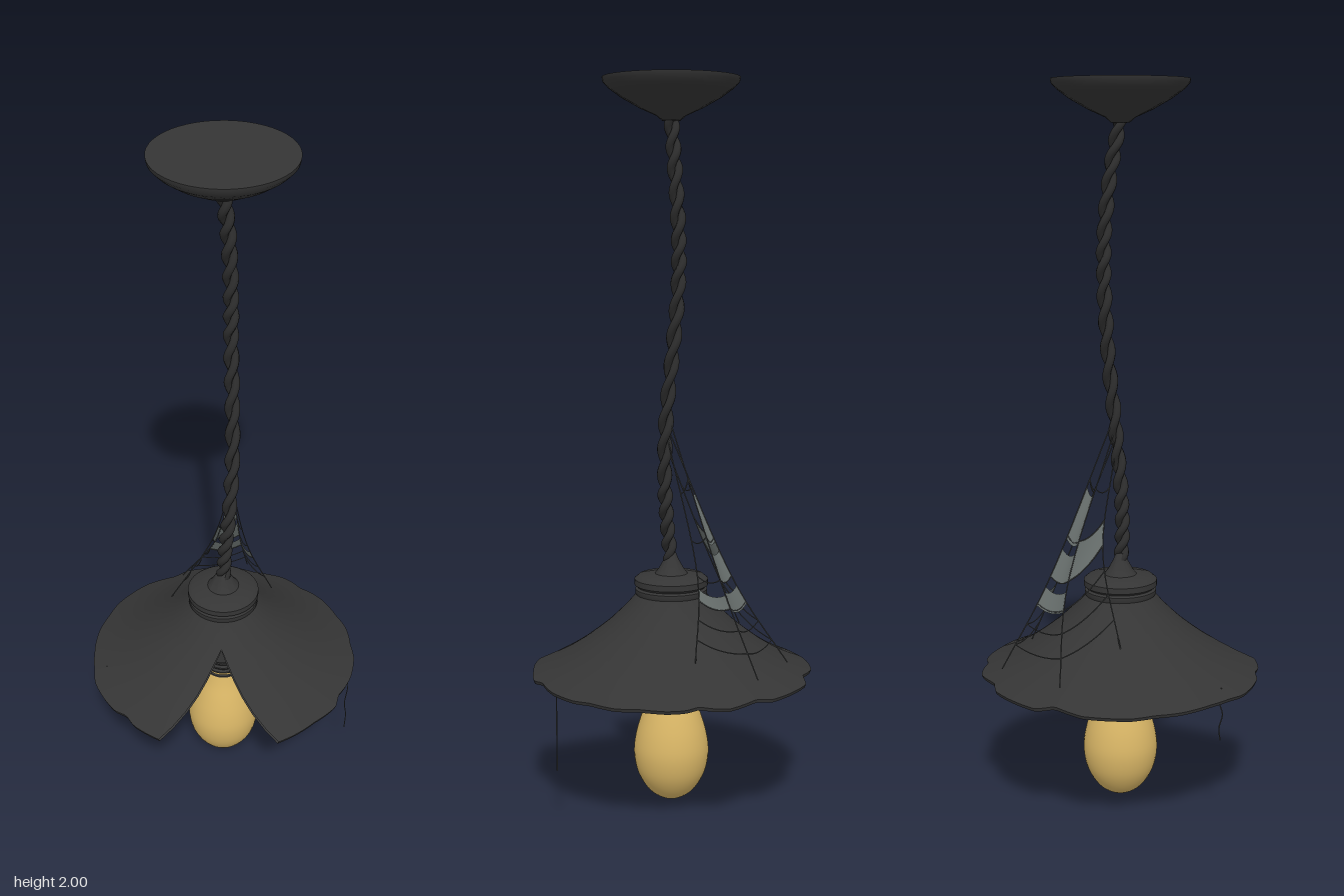
import * as THREE from 'three';
import { toCreasedNormals } from 'three/addons/utils/BufferGeometryUtils.js';

const mat = (name, color, side = THREE.FrontSide) => {
  const m = new THREE.MeshStandardMaterial({ color, side });
  m.name = name;
  return m;
};
const V = (x, y, z) => new THREE.Vector3(x, y, z);

// Surface from a grid of points, rows x cols
function gridGeometry(rows, cols, fn) {
  const pos = [], idx = [];
  for (let i = 0; i <= rows; i++)
    for (let j = 0; j <= cols; j++) pos.push(...fn(i, j / cols).toArray());
  const c = cols + 1;
  for (let i = 0; i < rows; i++)
    for (let j = 0; j < cols; j++) {
      const a = i * c + j;
      idx.push(a, a + 1, a + c, a + 1, a + c + 1, a + c);
    }
  const g = new THREE.BufferGeometry();
  g.setAttribute('position', new THREE.Float32BufferAttribute(pos, 3));
  g.setIndex(idx);
  g.computeVertexNormals();
  return g;
}

// Rim outline of the battered shade: [angle in degrees, radius]
const RIM = [
  [-199.4, .392], [-186, .39], [-180, .38], [-174, .392], [-155, .396], [-147, .388], [-137, .386],
  [-122, .39], [-112, .388], [-103, .395], [-84, .392], [-71, .372], [-64, .394], [-52, .392],
  [-39, .391], [-32, .376], [-18.5, .393], [-13, .388], [-6.6, .375], [-1, .387], [6, .39],
  [17.7, .385], [26, .392], [38, .386], [45, .392], [58, .39], [64, .386], [71, .38], [77, .393],
  [90, .385], [109.4, .39],
];
function rimRadius(a) {
  let k = 1;
  while (k < RIM.length - 1 && RIM[k][0] < a) k++;
  const [a0, r0] = RIM[k - 1], [a1, r1] = RIM[k];
  return THREE.MathUtils.lerp(r0, r1, THREE.MathUtils.clamp((a - a0) / (a1 - a0), 0, 1));
}

export function createModel() {
  const root = new THREE.Group();
  root.name = 'pendantLamp';
  const metal = mat('dark metal', 0x353535);
  const metalSheet = mat('dark sheet metal', 0x353535, THREE.DoubleSide);
  const cordMat = mat('cord black', 0x2c2c2c);
  const glass = mat('amber glass', 0xd9b666);
  const silk = mat('cobweb grey', 0x666d6b, THREE.DoubleSide);
  const thread = mat('cobweb thread', 0x484a4a);

  const add = (name, geo, material, parent = root) => {
    const m = new THREE.Mesh(geo, material);
    m.name = name;
    parent.add(m);
    return m;
  };
  const lathe = (name, pts, material, crease = 0.6) => add(name, toCreasedNormals(
    new THREE.LatheGeometry(pts.map(p => new THREE.Vector2(...p)), 48), crease), material);

  // Ceiling canopy
  lathe('canopy', [[0, 1.885], [.025, 1.887], [.04, 1.9], [.085, 1.92], [.135, 1.948], [.168, 1.972],
    [.183, 1.988], [.185, 2], [0, 2]], metal);

  // Two-strand twisted cord
  const cordPath = new THREE.CatmullRomCurve3([V(0, 1.9, 0), V(.025, 1.76, -.008), V(.041, 1.6, -.016),
    V(.042, 1.46, -.016), V(.034, 1.28, -.002), V(.018, 1.08, .016), V(.002, .9, .018),
    V(-.004, .78, .01), V(0, .67, 0)]);
  for (let s = 0; s < 2; s++) {
    const pts = [];
    for (let i = 0; i <= 160; i++) {
      const a = i / 160 * Math.PI * 20 + s * Math.PI;
      pts.push(cordPath.getPoint(i / 160).add(V(Math.cos(a) * .01, 0, Math.sin(a) * .01)));
    }
    add('cordStrand', new THREE.TubeGeometry(new THREE.CatmullRomCurve3(pts), 320, .0115, 8), cordMat);
  }

  // Neck and cap above the shade
  lathe('cap', [[0, .59], [.095, .592], [.1, .6], [.1, .612], [.094, .617], [.102, .624], [.102, .64],
    [.09, .65], [.045, .655], [.035, .668], [.02, .695], [.012, .715], [0, .715]], metal);

  // Shade with a torn wedge and nibbled rim: outer skin, then inner skin
  const outer = [[.095, .6], [.105, .588], [.125, .565], [.15, .54], [.18, .512], [.215, .484], [.255, .454],
    [.3, .425], [.345, .401], [.388, .382]];
  const profile = [...outer, ...outer.map(([r, y]) => [r - .003, y - .009]).reverse()];
  const shade = gridGeometry(profile.length - 1, 150, (i, s) => {
    const [r, y] = profile[i];
    const t = THREE.MathUtils.clamp((r - .15) / .238, 0, 1);
    const gap = 25.6 * Math.pow(t, .7);
    const bite = rimRadius(-199.4 + 308.8 * s) / .388 - 1;
    const rr = r * (1 + bite * t * t * t);
    const a = THREE.MathUtils.degToRad(THREE.MathUtils.lerp(-225 + gap, 135 - gap, s));
    return V(Math.cos(a) * rr, y - bite * .15 * t * t, Math.sin(a) * rr);
  });
  add('shade', toCreasedNormals(shade, 0.8), metalSheet);

  // Bulb holder with ribbed collar
  lathe('socket', [[0, .39], [.052, .39], [.062, .4], [.062, .59], [0, .59]], metal);
  const ribs = [[0, .325], [.046, .325]];
  for (let i = 0; i < 4; i++) {
    const y = .328 + i * .017;
    ribs.push([.05, y], [.056, y + .005], [.056, y + .01], [.05, y + .015]);
  }
  lathe('collar', [...ribs, [0, .397]], metal);

  // Glass bulb
  const bulbCurve = new THREE.SplineCurve([[0, .004], [.03, .01], [.065, .035], [.094, .083], [.105, .14],
    [.099, .195], [.083, .25], [.064, .3], [.051, .345]].map(p => new THREE.Vector2(...p)));
  add('bulb', new THREE.LatheGeometry(bulbCurve.getPoints(32).map(p => p.setX(Math.max(0, p.x))), 40), glass);

  // Cobweb between the cord and the shade
  const web = new THREE.Group();
  web.name = 'cobweb';
  root.add(web);
  const strand = (pts, name = 'webThread') => add(name,
    new THREE.TubeGeometry(new THREE.CatmullRomCurve3(pts), 14, .0017, 4), thread, web);
  const spokes = [
    [V(.016, 1.0, .01), V(.035, .74, -.09), V(-.03, .5, -.195)],
    [V(.018, 1.06, .01), V(.122, .65, -.165), V(.115, .425, -.31)],
    [V(.018, 1.1, .01), V(.185, .65, -.125), V(.295, .43, -.205)],
    [V(.018, 1.03, .01), V(.16, .66, -.06), V(.245, .465, -.045)],
  ].map(p => new THREE.CatmullRomCurve3(p));
  spokes.forEach(c => strand(c.getPoints(10), 'webSpoke'));

  // Cross threads sagging between neighbouring spokes
  const across = (k, t, s) => spokes[k].getPoint(t).lerp(spokes[k + 1].getPoint(t), s)
    .add(V(0, -.05 * s * (1 - s), 0));
  for (let k = 0; k < 3; k++)
    for (const t of [.18, .34, .47, .6, .72, .85])
      strand([0, .25, .5, .75, 1].map(s => across(k, t, s)));

  // Dense silk patches: [spoke, from, to]
  for (const [k, t0, t1] of [[1, .2, .35], [0, .34, .47], [1, .38, .47], [1, .51, .61], [2, .53, .6]])
    add('webPatch', gridGeometry(3, 6, (i, s) => across(k, t0 + (t1 - t0) * i / 3, s)), silk, web);

  // Loose threads hanging from the rim
  const hang = (x, z, y0, y1) => strand([0, .25, .5, .75, 1].map((t, i) =>
    V(x + [0, .006, -.004, .005, .002][i], THREE.MathUtils.lerp(y0, y1, t), z)), 'hangingThread');
  hang(-.302, -.18, .4, .25);
  hang(.2, .322, .385, .165);

  return root;
}
